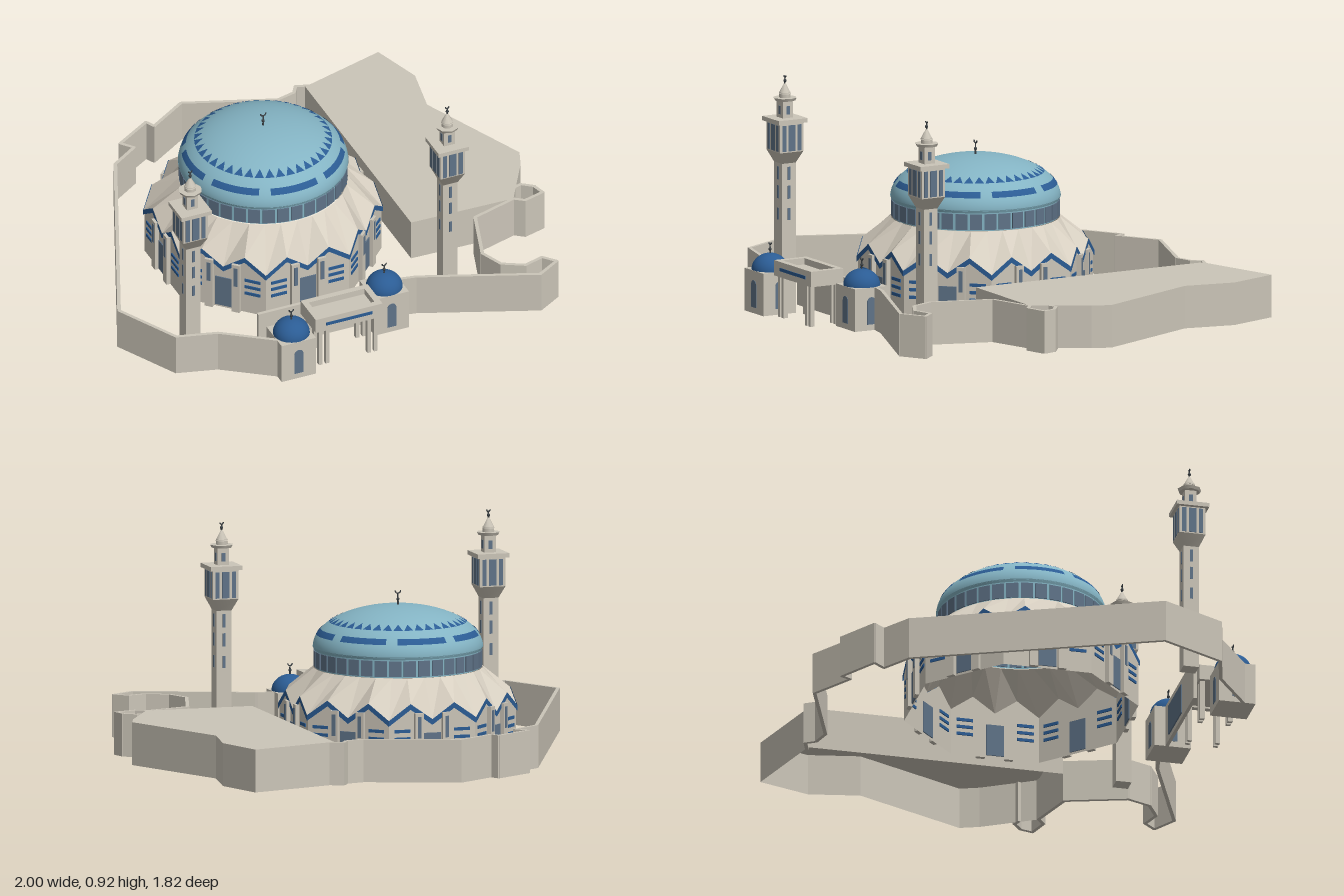
import * as THREE from 'three';

const mat = (name, color, side = THREE.DoubleSide) => {
  const m = new THREE.MeshStandardMaterial({ color, side });
  m.name = name;
  return m;
};

export function createModel() {
  const stone = mat('stone', 0xcbc5b8), roofStone = mat('roof stone', 0xd6cec0);
  const paleBlue = mat('pale blue', 0x84b4c4), blue = mat('deep blue', 0x2b5c94);
  const slate = mat('slate glass', 0x5f7388), dark = mat('dark metal', 0x3c4246);

  const root = new THREE.Group();
  root.name = 'domedComplex';
  const group = (name, parent, x = 0, y = 0, z = 0) => {
    const g = new THREE.Group();
    g.name = name;
    g.position.set(x, y, z);
    parent.add(g);
    return g;
  };
  const add = (parent, name, geo, m, x = 0, y = 0, z = 0) => {
    const o = new THREE.Mesh(geo, m);
    o.name = name;
    o.position.set(x, y, z);
    parent.add(o);
    return o;
  };
  // Box given by its bottom height
  const box = (parent, name, m, w, h, d, x, y, z) =>
    add(parent, name, new THREE.BoxGeometry(w, h, d), m, x, y + h / 2, z);
  // Flat-shaded skin between two rows of points
  const strip = (low, high) => {
    const p = [];
    for (let i = 0; i + 1 < low.length; i++)
      for (const v of [low[i], low[i + 1], high[i + 1], low[i], high[i + 1], high[i]]) p.push(...v);
    const g = new THREE.BufferGeometry();
    g.setAttribute('position', new THREE.Float32BufferAttribute(p, 3));
    g.computeVertexNormals();
    return g;
  };
  // Pole, ball and upturned crescent
  const finial = (parent, y, h) => {
    const g = group('finial', parent, 0, y, 0);
    add(g, 'pole', new THREE.CylinderGeometry(0.003, 0.004, h * 0.7, 6), dark, 0, h * 0.35, 0);
    add(g, 'ball', new THREE.SphereGeometry(0.007, 8, 6), dark, 0, h * 0.35, 0);
    const c = new THREE.TorusGeometry(h * 0.18, 0.003, 5, 12, Math.PI);
    add(g, 'crescent', c.rotateZ(Math.PI), dark, 0, h * 0.9, 0);
  };

  // ---- Perimeter wall ----
  const wallH = 0.18;
  const perimeter = group('perimeterWall', root);
  const wallPaths = [
    [[-0.47, 0.855], [-0.68, 0.705], [-0.85, 0.66], [-0.99, 0.39], [-0.57, -0.6], [-0.45, -0.68], [-0.49, -0.73],
      [-0.33, -0.83], [-0.31, -0.79], [-0.14, -0.9], [0.24, -0.76], [0.32, -0.78], [0.345, -0.82], [0.4, -0.8]],
    [[0.84, 0.3], [0.88, 0.33], [0.97, 0.305], [0.955, 0.25], [0.91, 0.215], [0.88, 0.225]],
    [[0.84, 0.3], [0.64, 0.36], [0.56, 0.615], [0.6, 0.715], [0.69, 0.765], [0.775, 0.74], [0.82, 0.79],
      [0.72, 0.85], [0.24, 0.66], [0.16, 0.645]],
    [[-0.47, 0.645], [0.02, 0.645]],
  ];
  for (const path of wallPaths)
    for (let i = 0; i + 1 < path.length; i++) {
      const [ax, az] = path[i], [bx, bz] = path[i + 1];
      const len = Math.hypot(bx - ax, bz - az);
      box(perimeter, 'wallSegment', stone, len + 0.008, wallH, 0.015, (ax + bx) / 2, 0, (az + bz) / 2)
        .rotation.y = -Math.atan2(bz - az, bx - ax);
    }
  box(perimeter, 'wallPortal', slate, 0.22, 0.13, 0.008, -0.17, 0.02, 0.636);

  // ---- Flat-roofed annex, open underneath ----
  const annex = group('annex', root);
  const plan = [[0.38, -0.8], [0.38, 0.29], [0.84, 0.3], [0.97, 0.08], [1, 0], [0.79, -0.475], [0.83, -0.69], [0.76, -0.91]];
  const loop = [...plan, plan[0]];
  add(annex, 'annexWalls', strip(loop.map(([x, z]) => [x, 0, z]), loop.map(([x, z]) => [x, wallH, z])), stone);
  const roofShape = new THREE.Shape(plan.map(([x, z]) => new THREE.Vector2(x, -z)));
  add(annex, 'annexRoof', new THREE.ShapeGeometry(roofShape).rotateX(-Math.PI / 2), stone, 0, wallH, 0);

  // ---- Octagonal hall with folded roof ----
  const hall = group('hall', root, -0.155, 0, -0.02);
  const apothem = 0.455, corner = apothem / Math.cos(Math.PI / 8);
  const eaves = [];
  for (let k = 0; k <= 32; k++) {
    const a = Math.PI / 8 + Math.floor(k / 4) * Math.PI / 4, b = a + Math.PI / 4, t = (k % 4) / 4;
    eaves.push([corner * (Math.sin(a) * (1 - t) + Math.sin(b) * t), k % 2 ? 0.272 : 0.205,
      corner * (Math.cos(a) * (1 - t) + Math.cos(b) * t)]);
  }
  const ring = (s, dy) => eaves.map(([x, y, z]) => [x * s, y + dy, z * s]);
  add(hall, 'hallWalls', strip(eaves.map(([x, , z]) => [x, 0, z]), eaves), stone);
  const drumFoot = eaves.map(([x, , z]) => {
    const r = Math.hypot(x, z);
    return [x / r * 0.352, 0.365, z / r * 0.352];
  });
  add(hall, 'foldedRoof', strip(ring(1.008, 0), drumFoot), roofStone);
  add(hall, 'eavesTrim', strip(ring(1.012, -0.022), ring(1.012, 0.002)), blue);
  for (let s = 0; s < 8; s++) {
    const side = group('hallSide', hall);
    side.rotation.y = s * Math.PI / 4;
    box(side, 'door', slate, 0.075, 0.14, 0.009, 0, 0.01, apothem);
    for (const m of [-1, 1]) {
      box(side, 'pilaster', stone, 0.036, 0.235, 0.018, m * 0.06, 0, apothem + 0.009);
      box(side, 'pilasterWindow', slate, 0.016, 0.09, 0.004, m * 0.06, 0.13, apothem + 0.018);
      for (let j = 0; j < 3; j++)
        box(side, 'louvre', blue, 0.07, 0.013, 0.009, m * 0.13, 0.09 + j * 0.032, apothem);
    }
  }

  // ---- Glazed drum ----
  add(hall, 'drum', new THREE.CylinderGeometry(0.346, 0.346, 0.085, 64, 1, true), paleBlue, 0, 0.4075, 0);
  add(hall, 'drumRim', new THREE.CylinderGeometry(0.355, 0.35, 0.012, 64, 1, true), paleBlue, 0, 0.447, 0);
  for (let i = 0; i < 36; i++) {
    const a = i * Math.PI / 18;
    box(hall, 'drumWindow', slate, 0.05, 0.066, 0.008, Math.sin(a) * 0.346, 0.37, Math.cos(a) * 0.346).rotation.y = a;
  }

  // ---- Main dome with painted bands ----
  const R = 0.354, H = 0.175;
  const dome = group('mainDome', hall, 0, 0.45, 0);
  const cap = (r, h, ...arc) => new THREE.SphereGeometry(1, ...arc).scale(r, h, r);
  add(dome, 'domeShell', cap(R, H, 64, 20, 0, Math.PI * 2, 0, Math.PI / 2), paleBlue);
  for (let i = 0; i < 8; i++) {
    const w = 0.64;
    add(dome, 'domeDash', cap(R + 0.002, H + 0.002, 10, 3, i * Math.PI / 4 - w / 2, w, 1.13, 0.14), blue);
  }
  const point = (a, r) => [Math.sin(a) * r, (H + 0.003) * Math.sqrt(1 - (r / R) ** 2) + 0.001, Math.cos(a) * r];
  const teeth = [], n = 40;
  for (let i = 0; i < n; i++) {
    const a = i * 2 * Math.PI / n, d = 0.88 * Math.PI / n;
    teeth.push(...point(a - d, 0.287), ...point(a + d, 0.287), ...point(a, 0.252));
  }
  const toothGeo = new THREE.BufferGeometry();
  toothGeo.setAttribute('position', new THREE.Float32BufferAttribute(teeth, 3));
  toothGeo.computeVertexNormals();
  add(dome, 'domeTeeth', toothGeo, blue);
  finial(dome, H, 0.065);

  // ---- Minarets ----
  // Square tapered block
  const taper = (parent, name, w0, w1, y0, y1) =>
    add(parent, name, new THREE.CylinderGeometry(w1 * Math.SQRT1_2, w0 * Math.SQRT1_2, y1 - y0, 4)
      .rotateY(Math.PI / 4).toNonIndexed(), stone, 0, (y0 + y1) / 2, 0);
  for (const x of [-0.74, 0.427]) {
    const tower = group('minaret', root, x, 0, 0.555);
    box(tower, 'shaft', stone, 0.066, 0.6, 0.066, 0, 0, 0);
    taper(tower, 'flare', 0.066, 0.112, 0.55, 0.6);
    box(tower, 'head', stone, 0.112, 0.12, 0.112, 0, 0.6, 0);
    box(tower, 'balcony', stone, 0.138, 0.018, 0.138, 0, 0.722, 0);
    box(tower, 'upperShaft', stone, 0.05, 0.07, 0.05, 0, 0.74, 0);
    add(tower, 'canopy', new THREE.CylinderGeometry(0.05, 0.044, 0.012, 8), stone, 0, 0.818, 0);
    add(tower, 'lantern', new THREE.CylinderGeometry(0.025, 0.025, 0.026, 8), stone, 0, 0.833, 0);
    add(tower, 'spire', new THREE.ConeGeometry(0.027, 0.05, 8), stone, 0, 0.865, 0);
    finial(tower, 0.88, 0.04);
    for (let s = 0; s < 4; s++) {
      const face = group('minaretFace', tower);
      face.rotation.y = s * Math.PI / 2;
      for (const [y, h] of [[0.31, 0.05], [0.4, 0.055], [0.48, 0.055]])
        box(face, 'slit', slate, 0.012, h, 0.004, 0, y, 0.033);
      for (const px of [-0.036, 0, 0.036])
        box(face, 'headWindow', slate, px ? 0.018 : 0.032, 0.11, 0.004, px, 0.605, 0.056);
      box(face, 'upperWindow', slate, 0.016, 0.035, 0.004, 0, 0.755, 0.025);
    }
  }

  // ---- Domed kiosks ----
  const arch = new THREE.Shape();
  arch.moveTo(-0.02, 0).lineTo(0.02, 0).lineTo(0.02, 0.095).absarc(0, 0.095, 0.02, 0, Math.PI);
  const archGeo = new THREE.ExtrudeGeometry(arch, { depth: 0.004, bevelEnabled: false, curveSegments: 10 });
  for (const [x, z] of [[0.09, 0.67], [-0.4, 0.825]]) {
    const kiosk = group('kiosk', root, x, 0, z);
    box(kiosk, 'kioskBody', stone, 0.156, wallH, 0.156, 0, 0, 0);
    add(kiosk, 'kioskDome', cap(0.077, 0.068, 32, 12, 0, Math.PI * 2, 0, Math.PI / 2), blue, 0, wallH, 0);
    finial(kiosk, 0.246, 0.052);
    for (let s = 0; s < 4; s++) {
      const face = group('kioskFace', kiosk);
      face.rotation.y = s * Math.PI / 2;
      add(face, 'archWindow', archGeo, slate, 0, 0.025, 0.076);
    }
  }

  // ---- Entrance gate ----
  const gate = group('gate', root, -0.153, 0, 0.783);
  for (const m of [-1, 1]) {
    box(gate, 'longBeam', stone, 0.304, 0.065, 0.026, 0, 0.172, m * 0.065);
    box(gate, 'shortBeam', stone, 0.026, 0.065, 0.106, m * 0.139, 0.172, 0);
    box(gate, 'gateStripe', blue, 0.21, 0.014, 0.004, 0, 0.198, m * 0.078);
    for (const px of [-0.125, -0.095, 0.095, 0.125])
      box(gate, 'gatePillar', stone, 0.016, 0.175, 0.02, px, 0, m * 0.06);
  }
  box(gate, 'gateCeiling', stone, 0.27, 0.03, 0.11, 0, 0.18, 0);

  return root;
}
